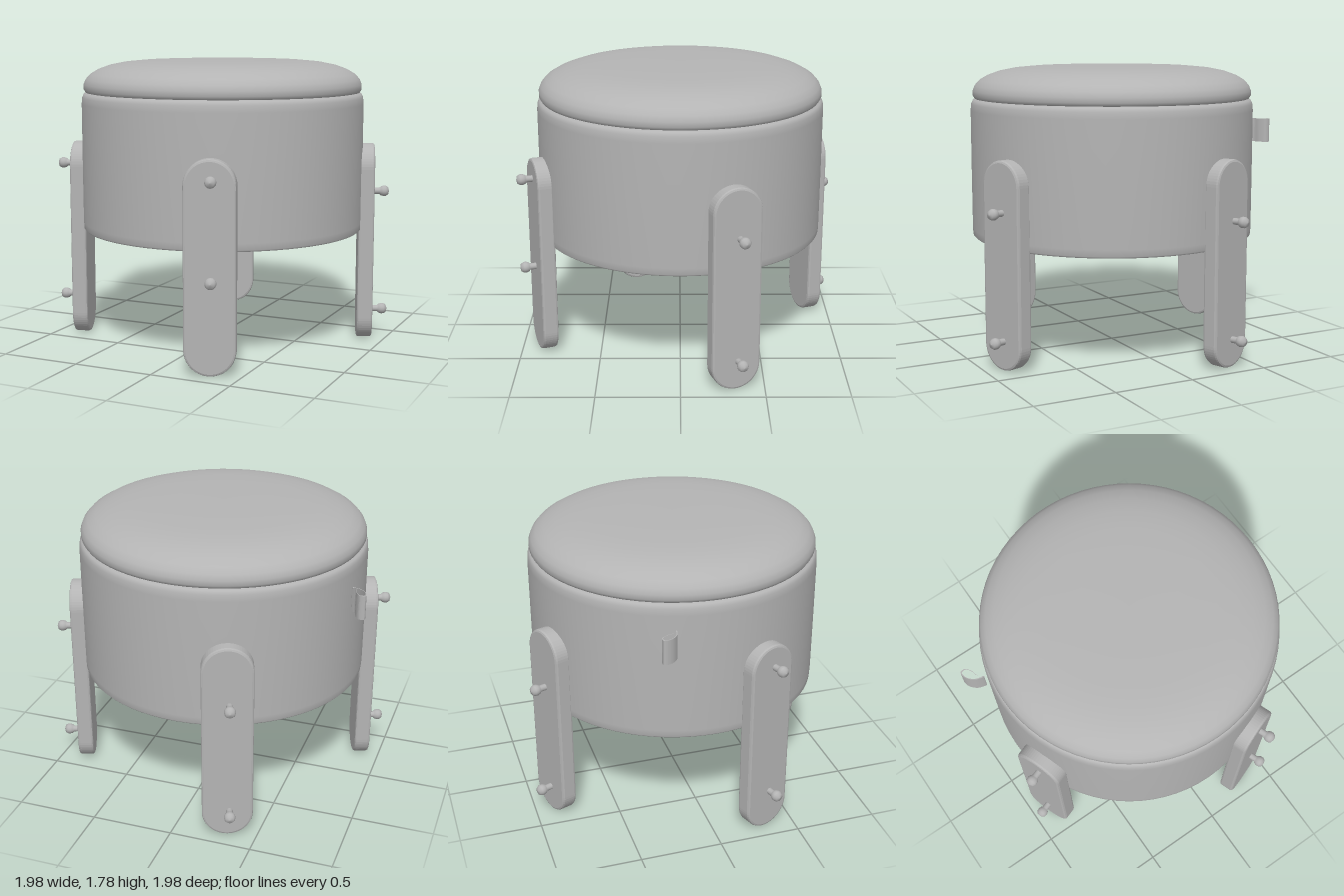
import * as THREE from 'three';

const V = (x, y) => new THREE.Vector2(x, y);

export function createModel() {
  const group = new THREE.Group();
  const grey = new THREE.MeshStandardMaterial({ color: 0xb4b4b4 });
  grey.name = 'plain grey';

  const add = (parent, name, geometry) => {
    const mesh = new THREE.Mesh(geometry, grey);
    mesh.name = name;
    parent.add(mesh);
    return mesh;
  };
  // Repeated profile points keep the hard edges crisp
  const lathe = (pts, segments) =>
    new THREE.LatheGeometry(pts.map(([r, y]) => V(r, y)), segments);

  // Drum body: flat underside, straight wall, softly rolled upper rim
  add(group, 'drumUnderside', lathe([[0, 0.71], [0.875, 0.71]], 72));
  add(group, 'drumBody', lathe([
    [0.875, 0.71], [0.884, 0.72], [0.886, 0.76], [0.887, 1.1], [0.887, 1.5],
    [0.883, 1.54], [0.873, 1.562], [0.85, 1.57],
  ], 72));

  // Cushion: tight lower edge and gently domed top
  add(group, 'seatCushion', lathe([
    [0.84, 1.568], [0.862, 1.572], [0.873, 1.59], [0.873, 1.62], [0.86, 1.652],
    [0.83, 1.685], [0.78, 1.714], [0.71, 1.739], [0.62, 1.757], [0.5, 1.768],
    [0.3, 1.775], [0, 1.778],
  ], 72));

  // Leg plate: upright slab with half-round ends
  const bevel = 0.014;
  const half = 0.152 - bevel;
  const height = 1.25;
  const outline = new THREE.Shape();
  outline.absarc(0, 0.152, half, Math.PI, Math.PI * 2, false);
  outline.absarc(0, height - 0.152, half, 0, Math.PI, false);
  outline.closePath();
  const plate = new THREE.ExtrudeGeometry(outline, {
    depth: 0.098 - 2 * bevel, bevelEnabled: true, bevelSize: bevel,
    bevelThickness: bevel, bevelSegments: 2, curveSegments: 14,
  });
  plate.translate(0, 0, 0.862 + bevel);

  // Peg: short neck with a rounded knob, pointing outwards
  const peg = lathe([
    [0.02, 0], [0.02, 0.045], [0.029, 0.054], [0.034, 0.07], [0.033, 0.085],
    [0.024, 0.1], [0, 0.107],
  ], 16);
  peg.rotateX(Math.PI / 2);

  // Four legs a quarter turn apart, each with pegs at its own heights
  const legs = [
    ['frontLeg', [1.13, 0.56]],
    ['leftLeg', [0.945, 0.18]],
    ['backLeg', [0.885, 0.17]],
    ['rightLeg', [1.11, 0.25]],
  ];
  legs.forEach(([name, heights], i) => {
    const leg = new THREE.Group();
    leg.name = name;
    leg.rotation.y = 0.35 + i * Math.PI / 2;
    add(leg, name + 'Plate', plate);
    heights.forEach((y) => add(leg, name + 'Peg', peg).position.set(0.012, y, 0.952));
    group.add(leg);
  });

  // Fabric tab: a folded strip loop standing out of the side wall
  const loopPoints = [[-0.87, -0.245], [-0.925, -0.258], [-0.965, -0.3],
    [-0.972, -0.345], [-0.94, -0.35], [-0.912, -0.315], [-0.9, -0.275]];
  const loop = new THREE.CatmullRomCurve3(
    loopPoints.map(([x, z]) => new THREE.Vector3(x, 0, z)), true);
  const ring = loop.getPoints(36).slice(0, -1).map((p) => V(p.x, -p.z));
  const centre = V(-0.93, 0.3);
  const tab = new THREE.Shape(ring);
  tab.holes.push(new THREE.Path(ring.map((p) => p.clone().lerp(centre, 0.14))));
  const tabGeometry = new THREE.ExtrudeGeometry(tab, { depth: 0.15, bevelEnabled: false });
  tabGeometry.rotateX(-Math.PI / 2);
  add(group, 'sideTab', tabGeometry).position.y = 1.275;

  return group;
}
